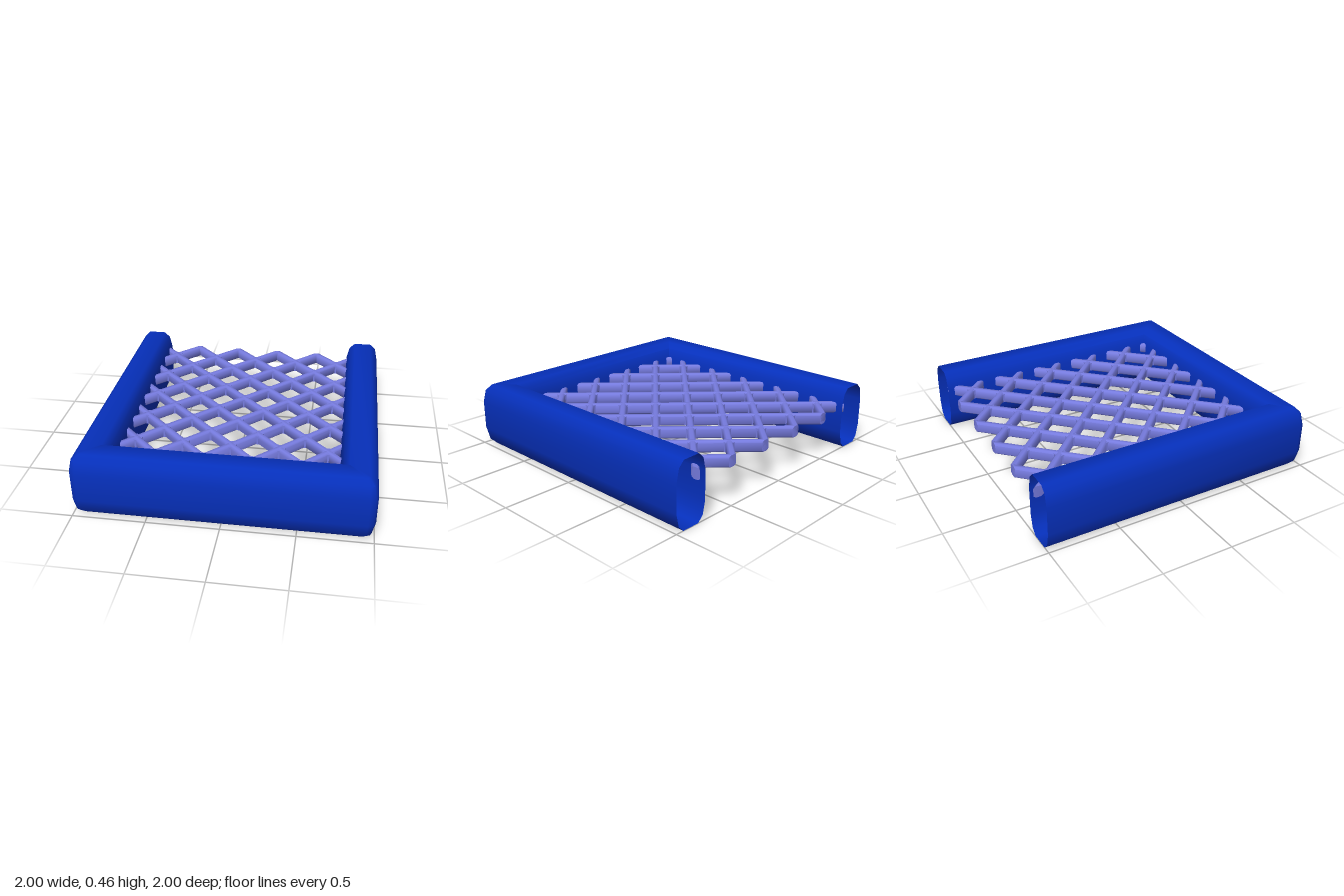
import * as THREE from 'three';
import { toCreasedNormals } from 'three/addons/utils/BufferGeometryUtils.js';

// Skin a list of equal rings of [x, y, z] points, optionally closing both ends
function loft(rings, capped) {
  const n = rings[0].length;
  const index = [];
  for (let j = 0; j < rings.length - 1; j++) {
    for (let i = 0; i < n; i++) {
      const a = j * n + i, b = j * n + (i + 1) % n;
      index.push(a, b + n, b, a, a + n, b + n);
    }
  }
  if (capped) {
    const e = (rings.length - 1) * n;
    for (let i = 1; i < n - 1; i++) index.push(0, i, i + 1, e, e + i + 1, e + i);
  }
  const geometry = new THREE.BufferGeometry();
  geometry.setAttribute('position', new THREE.Float32BufferAttribute(rings.flat(2), 3));
  geometry.setIndex(index);
  return toCreasedNormals(geometry, 0.83);
}

// Hollow U-shaped frame: a rounded section swept along left, front and right sides
function frameGeometry() {
  const W = 0.25, inner = 0.75;
  const quarter = [[0.125, 0.1], [0.105, 0.19], [0.065, 0.23]];
  const right = [...quarter.map(([d, y]) => [d, -y]).reverse(), ...quarter];
  const section = [...right, ...right.map(([d, y]) => [-d, -y])]
    .map(([d, y]) => [d + W / 2, y + 0.23]);

  // Corner stations trim the outer corner slightly and keep the inner one sharp
  const half = [
    (r) => [r, -1],
    (r, c) => [r, r - c],
    (r, c) => [r - 0.3 * c, r - 0.3 * c],
    (r, c) => [r - c, r],
  ];
  const ring = (station, side) => section.map(([d, y]) => {
    const [x, z] = station(inner + d, 0.002 + 0.048 * (d / W) ** 4);
    return [side * x, y, z];
  });
  return loft([
    ...half.map((s) => ring(s, -1)),
    ...[...half].reverse().map((s) => ring(s, 1)),
  ], false);
}

const MESH_Y = 0.31, X_MAX = 0.79, Z_MIN = -1, Z_MAX = 0.79;

// Diagonal bar along z = slope * x + offset, its ends trimmed to the frame
function barGeometry(slope, offset) {
  const w = 0.024, h = 0.04, k = 0.012;
  const section = [
    [w, -h + k], [w, h - k], [w - k, h], [-w + k, h],
    [-w, h - k], [-w, -h + k], [-w + k, -h], [w - k, -h],
  ];
  const span = (u) => {
    const c = offset + u * Math.SQRT2;
    const ends = [(Z_MIN - c) / slope, (Z_MAX - c) / slope].sort((a, b) => a - b);
    return [Math.max(-X_MAX, ends[0]), Math.min(X_MAX, ends[1]), c];
  };
  const [start, end] = span(0);
  if (end - start < 0.08) return null;
  return loft([0, 1].map((e) => section.map(([u, y]) => {
    const s = span(u);
    return [s[e], MESH_Y + y, slope * s[e] + s[2]];
  })), true);
}

export function createModel() {
  const model = new THREE.Group();
  const frameMaterial = new THREE.MeshStandardMaterial({ color: 0x0630bc, side: THREE.DoubleSide });
  const meshMaterial = new THREE.MeshStandardMaterial({ color: 0x777ce0 });

  const frame = new THREE.Mesh(frameGeometry(), frameMaterial);
  frame.name = 'frame';
  model.add(frame);

  const lattice = new THREE.Group();
  lattice.name = 'lattice';
  model.add(lattice);

  // Two crossing sets of bars
  for (const slope of [1, -1]) {
    for (let i = -6; i <= 5; i++) {
      const geometry = barGeometry(slope, i / 3 + 1 / 6);
      if (!geometry) continue;
      const bar = new THREE.Mesh(geometry, meshMaterial);
      bar.name = slope > 0 ? 'risingBar' : 'fallingBar';
      lattice.add(bar);
    }
  }

  // Small webs filling the corners of every crossing
  const webGeometry = new THREE.BoxGeometry(0.08, 0.066, 0.08);
  for (let i = -4; i <= 4; i++) {
    for (let j = -5; j <= 4; j++) {
      if ((i + j) % 2 === 0) continue;
      const web = new THREE.Mesh(webGeometry, meshMaterial);
      web.name = 'crossingWeb';
      web.position.set(i / 6, MESH_Y, j / 6);
      lattice.add(web);
    }
  }
  return model;
}
